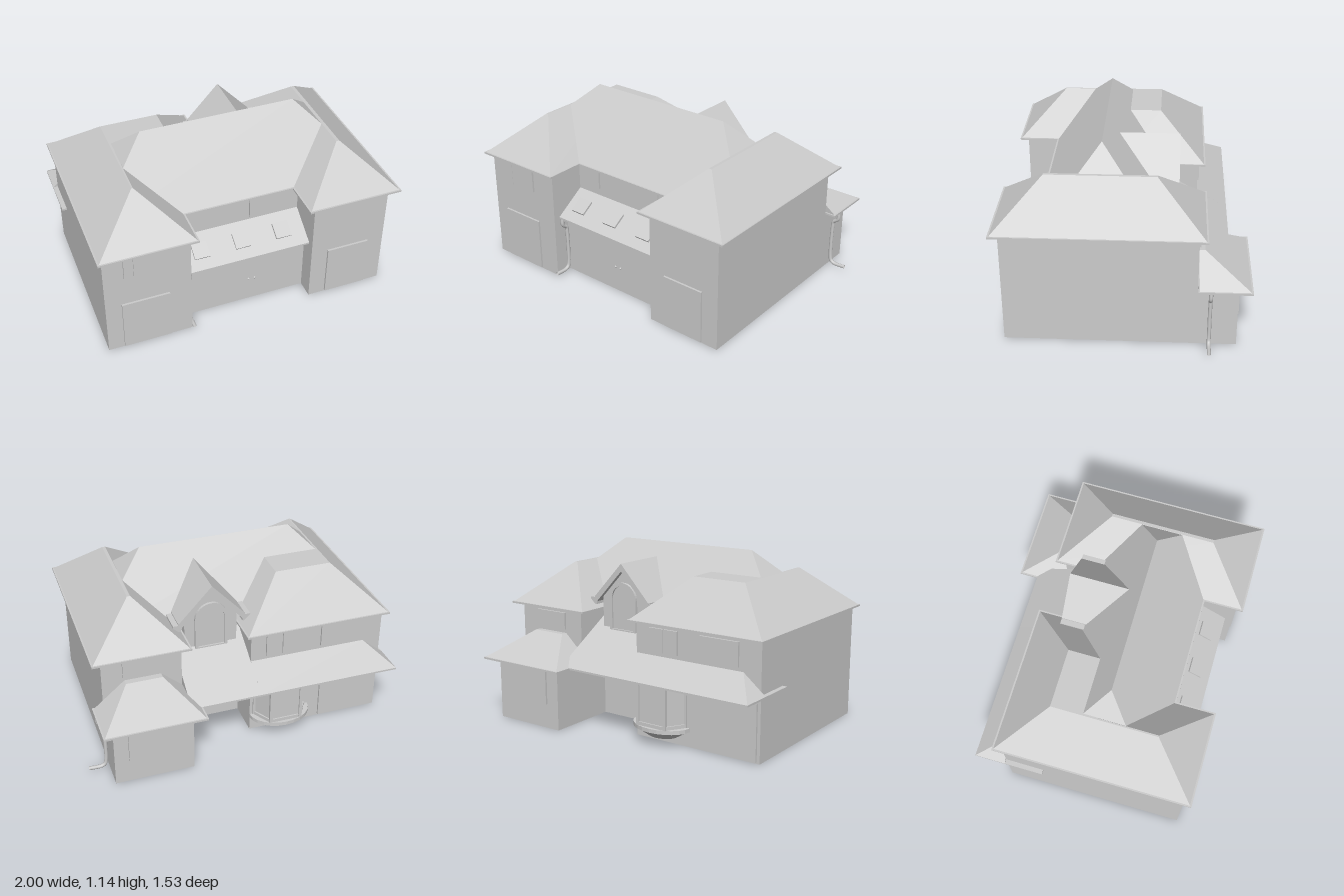
import * as THREE from 'three';

const mat = new THREE.MeshStandardMaterial({ color: 0xcccccc, flatShading: true, side: THREE.DoubleSide });
const smooth = new THREE.MeshStandardMaterial({ color: 0xcccccc });

export function createModel() {
  const model = new THREE.Group();

  function add(name, geo, parent = model, material = mat) {
    const m = new THREE.Mesh(geo, material);
    m.name = name;
    parent.add(m);
    return m;
  }
  function group(name) {
    const g = new THREE.Group();
    g.name = name;
    model.add(g);
    return g;
  }
  // Box given by its limits
  function box(name, x0, x1, y0, y1, z0, z1, parent) {
    const g = new THREE.BoxGeometry(x1 - x0, y1 - y0, z1 - z0);
    g.translate((x0 + x1) / 2, (y0 + y1) / 2, (z0 + z1) / 2);
    return add(name, g, parent);
  }
  // Geometry from quads, dropping collapsed triangles
  function fromQuads(quads) {
    const pos = [];
    const t = new THREE.Triangle();
    for (const [a, b, c, d] of quads) {
      for (const tri of [[a, b, c], [a, c, d]]) {
        t.set(...tri);
        if (t.getArea() > 1e-7) tri.forEach(p => pos.push(p.x, p.y, p.z));
      }
    }
    const g = new THREE.BufferGeometry();
    g.setAttribute('position', new THREE.Float32BufferAttribute(pos, 3));
    g.computeVertexNormals();
    return g;
  }
  // Open-ended walls around a footprint of [x, z] points
  function walls(name, pts, y0, y1, parent) {
    const quads = pts.map(([x, z], i) => {
      const [u, w] = pts[(i + 1) % pts.length];
      return [new THREE.Vector3(x, y0, z), new THREE.Vector3(u, y0, w),
        new THREE.Vector3(u, y1, w), new THREE.Vector3(x, y1, z)];
    });
    return add(name, fromQuads(quads), parent);
  }
  const rect = (x0, x1, z0, z1) => [[x0, z1], [x1, z1], [x1, z0], [x0, z0]];
  // Hipped roof: eave rectangle rising to a top rectangle (or ridge), on a thin eave slab
  function hipRoof(name, eave, y0, top, y1, inset = 0.01) {
    const g = group(name);
    const [x0, x1, z0, z1] = eave;
    box('eave', x0, x1, y0 - 0.012, y0, z0, z1, g);
    const b = rect(x0 + inset, x1 - inset, z0 + inset, z1 - inset).map(([x, z]) => new THREE.Vector3(x, y0, z));
    const t = rect(...top).map(([x, z]) => new THREE.Vector3(x, y1, z));
    const quads = b.map((p, i) => [p, b[(i + 1) % 4], t[(i + 1) % 4], t[i]]);
    quads.push(t);
    add('slopes', fromQuads(quads), g);
  }

  // Walls
  walls('rightBlockWalls', [[-0.97, 0.715], [-0.43, 0.715], [-0.43, 0], [-0.08, 0], [-0.08, -0.45], [-0.97, -0.45]], 0, 0.735);
  walls('leftBlockWalls', rect(0.37, 0.87, -0.45, 0.715), 0, 0.735);
  walls('middleLowerWalls', rect(-0.43, 0.37, -0.22, 0.6), 0, 0.41);
  walls('middleUpperWalls', rect(-0.43, 0.37, -0.22, 0.47), 0.41, 0.735);
  walls('rearWingWalls', rect(0.37, 0.87, -0.69, -0.45), 0, 0.41);

  // Upper roofs
  hipRoof('mainRoof', [-0.965, 0.885, -0.25, 0.51], 0.745, [-0.54, 0.46, 0.135, 0.135], 1.14);
  hipRoof('rightBlockRoof', [-1, -0.39, -0.5, 0.765], 0.745, [-0.7, -0.69, -0.2, 0.47], 1);
  hipRoof('rightRearRoof', [-1, -0.04, -0.5, 0.1], 0.745, [-0.7, -0.33, -0.2, 0.09], 1);
  hipRoof('leftBlockRoof', [0.315, 0.93, -0.5, 0.765], 0.745, [0.61, 0.63, -0.2, 0.47], 1);

  // Lower roofs
  hipRoof('rearWingRoof', [0.3, 0.94, -0.77, -0.45], 0.415, [0.5, 0.73, -0.49, -0.45], 0.575);
  hipRoof('verandaRoof', [-1, -0.08, -0.65, -0.45], 0.415, [-0.85, -0.08, -0.45, -0.45], 0.535, 0);
  hipRoof('recessRoof', [-0.08, 0.37, -0.65, -0.22], 0.415, [-0.08, 0.37, -0.22, -0.22], 0.67, 0);
  hipRoof('frontLeanToRoof', [-0.43, 0.37, 0.47, 0.67], 0.415, [-0.43, 0.37, 0.47, 0.47], 0.55, 0);
  box('sideEave', -1, -0.97, 0.403, 0.415, -0.45, -0.2);

  // Skylights lying on the front lean-to
  for (const x of [-0.32, -0.05, 0.22]) {
    const s = add('skylight', new THREE.BoxGeometry(0.1, 0.016, 0.1));
    s.position.set(x, 0.487, 0.572);
    s.rotation.x = Math.atan2(0.135, 0.2);
  }

  // Windows and doors as thin panels: x0, x1, y0, y1, wall z, outward sign
  const panels = [
    ['garageDoor', -0.87, -0.57, 0.01, 0.355, 0.715, 1],
    ['garageDoor', 0.48, 0.76, 0.01, 0.355, 0.715, 1],
    ['frontWindow', -0.785, -0.6, 0.56, 0.715, 0.715, 1],
    ['frontWindowSide', -0.845, -0.787, 0.56, 0.715, 0.715, 1],
    ['middleWindow', -0.38, -0.25, 0.6, 0.715, 0.47, 1],
    ['middleWindow', 0.04, 0.235, 0.57, 0.715, 0.47, 1],
    ['rearUpperWindow', -0.82, -0.55, 0.56, 0.71, -0.45, -1],
    ['rearUpperWindow', -0.39, -0.29, 0.56, 0.71, -0.45, -1],
    ['rearUpperWindow', -0.285, -0.18, 0.56, 0.71, -0.45, -1],
    ['rearUpperWindow', 0.5, 0.74, 0.6, 0.71, -0.45, -1],
    ['patioDoor', -0.95, -0.56, 0.01, 0.37, -0.45, -1],
    ['wingWindow', 0.46, 0.78, 0.16, 0.395, -0.69, -1],
    ['rearDoor', 0.05, 0.22, 0.01, 0.36, -0.22, -1],
  ];
  for (const [name, x0, x1, y0, y1, z, s] of panels) {
    box(name, x0, x1, y0, y1, Math.min(z, z + s * 0.013), Math.max(z, z + s * 0.013));
  }
  for (const x of [-0.01, 0.03]) {
    add('doorKnob', new THREE.SphereGeometry(0.008, 10, 8), model, smooth).position.set(x, 0.175, 0.607);
  }

  // Dormer
  const dormer = group('dormer');
  dormer.position.set(0.135, 0, -0.33);
  const poly = pts => new THREE.Shape(pts.map(p => new THREE.Vector2(...p)));
  const extrude = (shape, depth) => new THREE.ExtrudeGeometry(shape, { depth, bevelEnabled: false, curveSegments: 10 });
  add('dormerRoof', extrude(poly([[0, 1.05], [-0.215, 0.82], [-0.215, 0.77], [0, 1], [0.215, 0.77], [0.215, 0.82]]), 0.38), dormer);
  add('dormerWall', extrude(poly([[-0.17, 0.55], [0.17, 0.55], [0.17, 0.835], [0, 1.02], [-0.17, 0.835]]), 0.2), dormer)
    .position.z = 0.03;
  for (const s of [-1, 1]) {
    const r = add('eaveReturn', new THREE.BoxGeometry(0.05, 0.045, 0.2), dormer);
    r.position.set(s * 0.225, 0.79, 0.1);
  }
  function arch(C, w, y0, ySpring) {
    const s = new C();
    s.moveTo(-w, y0);
    s.lineTo(w, y0);
    s.lineTo(w, ySpring);
    s.absarc(0, ySpring, w, 0, Math.PI, false);
    s.lineTo(-w, y0);
    return s;
  }
  const frame = arch(THREE.Shape, 0.105, 0.6, 0.82);
  frame.holes.push(arch(THREE.Path, 0.085, 0.62, 0.82));
  add('archFrame', extrude(frame, 0.02), dormer).position.z = 0.012;
  add('archPane', extrude(arch(THREE.Shape, 0.09, 0.61, 0.82), 0.008), dormer).position.z = 0.023;

  // Bay window
  const bay = group('bayWindow');
  bay.position.set(-0.28, 0, -0.45);
  const plan = [[0.17, 0], [0.1, -0.12], [-0.1, -0.12], [-0.17, 0]];
  walls('bayPanes', plan, 0.12, 0.405, bay);
  for (const [x, z] of plan) box('bayPost', x - 0.01, x + 0.01, 0.12, 0.405, z - 0.01, z + 0.01, bay);
  for (const y of [0.13, 0.385]) {
    plan.slice(1).forEach(([x, z], i) => {
      const [u, w] = plan[i];
      const rail = add('bayRail', new THREE.BoxGeometry(Math.hypot(x - u, z - w), 0.025, 0.018), bay);
      rail.position.set((x + u) / 2, y, (z + w) / 2);
      rail.rotation.y = Math.atan2(-(z - w), x - u);
    });
  }
  const half = (rt, rb, h, y) => new THREE.CylinderGeometry(rt, rb, h, 12, 1, false, Math.PI / 2, Math.PI)
    .scale(1, 1, 0.75).translate(0, y, 0);
  add('baySill', half(0.2, 0.2, 0.025, 0.108), bay);
  add('bayBase', half(0.19, 0.1, 0.055, 0.068), bay);

  // Downpipes: outward offset and height along the pipe
  const run = [[0.055, 0.41], [0.055, 0.355], [0.022, 0.325], [0.02, 0.3], [0.02, 0.07], [0.028, 0.035], [0.05, 0.02], [0.13, 0.02]];
  function downpipe(name, x, z, turn) {
    const curve = new THREE.CatmullRomCurve3(run.map(([o, y]) => new THREE.Vector3(o, y, 0)), false, 'centripetal');
    const p = add(name, new THREE.TubeGeometry(curve, 50, 0.012, 8), model,
      new THREE.MeshStandardMaterial({ color: 0xcccccc, side: THREE.DoubleSide }));
    p.position.set(x, 0, z);
    p.rotation.y = turn;
  }
  downpipe('sideDownpipe', 0.87, -0.525, 0);
  downpipe('frontDownpipe', -0.42, 0.6, -Math.PI / 2);

  return model;
}
